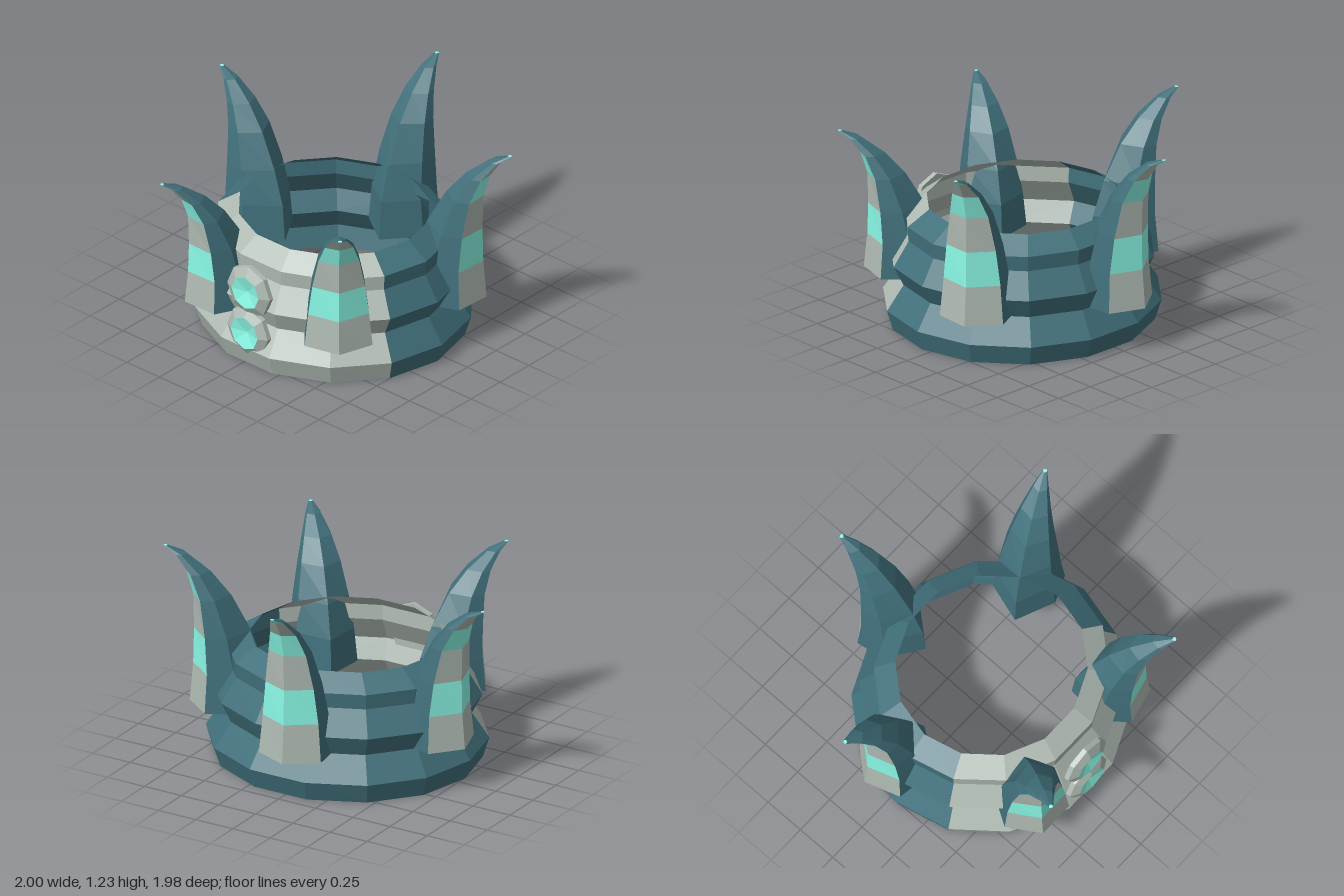
import * as THREE from 'three';

const CENTER_X = 0.035, CENTER_Z = 0.06, BASE_Y = 0.27;

const paint = (color) => new THREE.MeshStandardMaterial({ color, flatShading: true, side: THREE.DoubleSide });
const teal = paint(0x41707b);
const stone = paint(0xafbbb3);
const aqua = paint(0x8bfbe8);

// Collects loose triangles and turns them into a faceted mesh.
function facets(name, material, triangles) {
  const geometry = new THREE.BufferGeometry().setFromPoints(triangles);
  geometry.computeVertexNormals();
  const mesh = new THREE.Mesh(geometry, material);
  mesh.name = name;
  return mesh;
}

// Two triangles between neighbouring columns a and b at rows j and j + 1.
function quad(list, a, b, j) {
  list.push(a[j], a[j + 1], b[j + 1], a[j], b[j + 1], b[j]);
}

// Thin stepped band: profile of [y, x radius, z radius], swept round 14 sides.
function createBand() {
  const profile = [
    [0, 0.79, 0.75], [0.12, 0.825, 0.79], [BASE_Y, 0.725, 0.69], [0.39, 0.79, 0.74],
    [0.54, 0.7, 0.65], [0.63, 0.705, 0.655], [0.72, 0.57, 0.54],
  ];
  const sides = 14;
  const columns = Array.from({ length: sides }, (_, i) => {
    const a = (i / sides) * Math.PI * 2;
    return profile.map(([y, rx, rz]) => new THREE.Vector3(rx * Math.cos(a), y, rz * Math.sin(a)));
  });
  const front = [], back = [];
  for (let i = 0; i < sides; i++) {
    const list = i >= 1 && i <= 5 ? front : back;
    for (let j = 0; j < profile.length - 1; j++) quad(list, columns[i], columns[(i + 1) % sides], j);
  }
  const band = new THREE.Group();
  band.name = 'band';
  band.add(facets('bandFront', stone, front), facets('bandBack', teal, back));
  return band;
}

// Curved horn, open below: six-sided sections of
// [height fraction, outer ridge, inner ridge, half width].
function createSpike(angle, height) {
  const sections = [
    [0, 0.91, 0.46, 0.195], [0.245, 0.89, 0.48, 0.175], [0.47, 0.885, 0.555, 0.152],
    [0.695, 0.89, 0.67, 0.118], [0.845, 0.93, 0.79, 0.082], [0.955, 1.0, 0.925, 0.042],
    [1, 1.06, 1.035, 0.012],
  ];
  // Section corners: [sideways factor, position between inner and outer ridge]
  const corners = [[0, 1], [-1, 0.76], [-0.97, 0.38], [0, 0], [0.97, 0.38], [1, 0.76]];
  const columns = corners.map(([side, depth]) => sections.map(([f, out, inn, w]) =>
    new THREE.Vector3(side * w, BASE_Y + f * height, inn + (out - inn) * depth)));

  const body = [], plates = [], stripes = [], tip = [];
  const top = sections.length - 1;
  for (let k = 0; k < 6; k++) {
    for (let j = 0; j < top; j++) {
      const outerFace = k === 0 || k === 5;
      const list = !outerFace ? body : j % 2 ? stripes : plates;
      quad(list, columns[k], columns[(k + 1) % 6], j);
    }
  }
  // Tip cap
  for (let k = 1; k < 5; k++) tip.push(columns[0][top], columns[k + 1][top], columns[k][top]);

  const spike = new THREE.Group();
  spike.name = 'spike';
  spike.add(
    facets('spikeBody', teal, body), facets('spikePlates', stone, plates),
    facets('spikeStripes', aqua, stripes), facets('spikeTip', aqua, tip),
  );
  spike.rotation.y = THREE.MathUtils.degToRad(angle);
  return spike;
}

// Eight-sided disc with a faceted jewel set into its face.
function createJewel(y, z, radius) {
  const turned = (name, material, points) => {
    const geometry = new THREE.LatheGeometry(points.map(([r, d]) => new THREE.Vector2(r, d)), 8);
    geometry.rotateX(Math.PI / 2);
    const mesh = new THREE.Mesh(geometry, material);
    mesh.name = name;
    return mesh;
  };
  const jewel = new THREE.Group();
  jewel.name = 'jewel';
  jewel.add(
    turned('jewelSetting', stone, [[0, -0.06], [radius, -0.06], [radius, -0.03], [0.103, 0]]),
    turned('jewelStone', aqua, [[0.103, 0], [0, -0.025]]),
  );
  jewel.position.set(0, y, z);
  return jewel;
}

export function createModel() {
  const crown = new THREE.Group();
  crown.name = 'crown';
  crown.add(createBand());

  // Five spikes, evenly spaced, taller towards the back
  const heights = [0.84, 0.96, 0.96, 0.9, 0.81];
  heights.forEach((height, i) => crown.add(createSpike(43.3 + i * 72, height)));

  // Jewels on the front
  crown.add(createJewel(0.485, 0.772, 0.162), createJewel(0.22, 0.78, 0.155));

  crown.position.set(CENTER_X, 0, CENTER_Z);
  const model = new THREE.Group();
  model.add(crown);
  return model;
}
